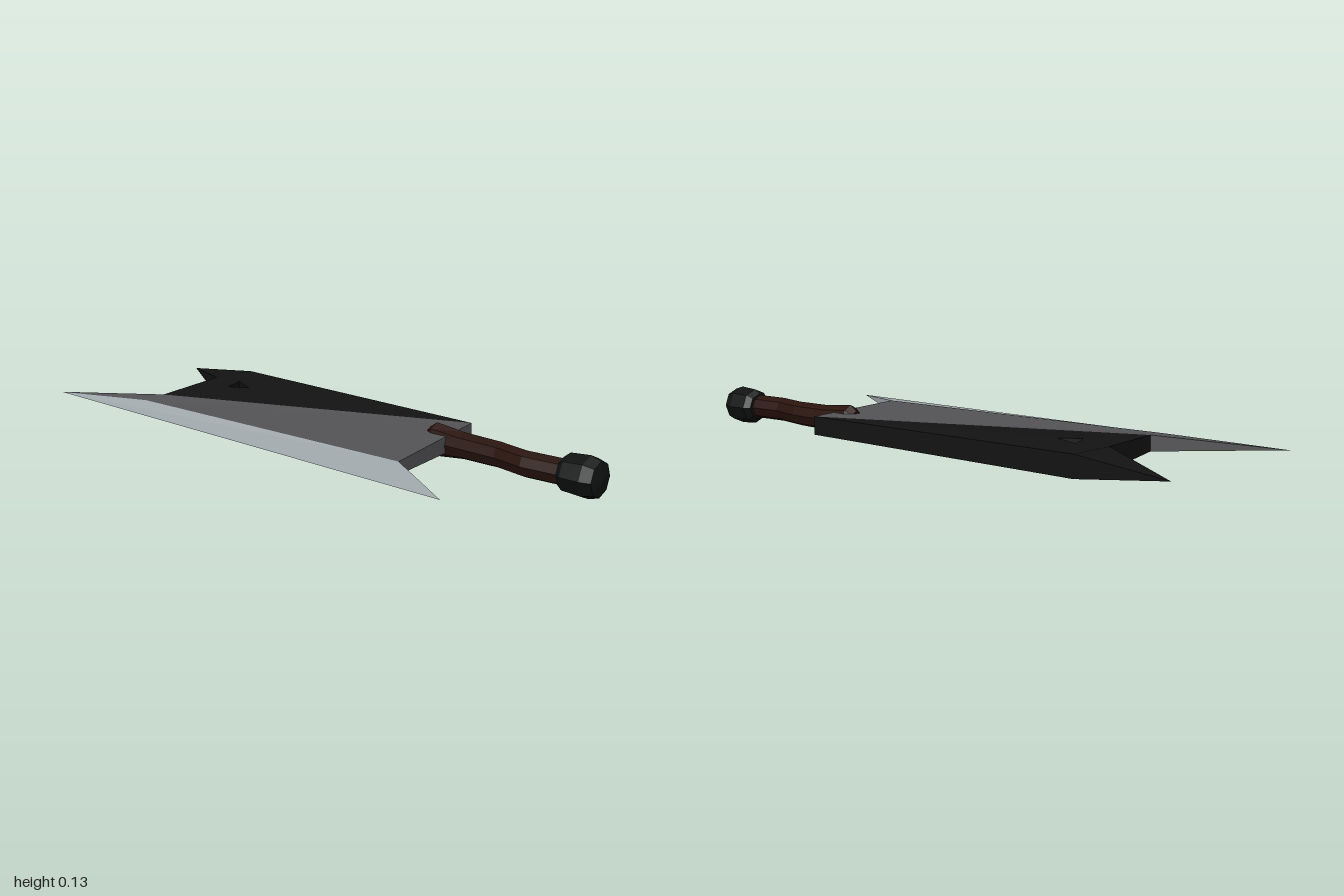
import * as THREE from 'three';

const MID = 0.067; // height of the blade's middle plane

function makeMesh(name, positions, color) {
  const geometry = new THREE.BufferGeometry();
  geometry.setAttribute('position', new THREE.Float32BufferAttribute(positions, 3));
  geometry.computeVertexNormals();
  const mesh = new THREE.Mesh(geometry, new THREE.MeshStandardMaterial({ color, flatShading: true }));
  mesh.name = name;
  return mesh;
}

// Slab mirrored about the middle plane. Points are [x, z, half thickness];
// walls lists the outline edges that are closed with a side face.
function slab(name, color, outline, walls, hole = []) {
  const pos = [];
  const all = [...outline, ...hole];
  const put = (p, s) => pos.push(p[0], MID + s * p[2], p[1]);
  const flat = (pts) => pts.map((p) => new THREE.Vector2(p[0], p[1]));
  const faces = THREE.ShapeUtils.triangulateShape(flat(outline), hole.length ? [flat(hole)] : []);
  for (const face of faces) {
    let [a, b, c] = face.map((i) => all[i]);
    const turn = (b[0] - a[0]) * (c[1] - a[1]) - (b[1] - a[1]) * (c[0] - a[0]);
    if (turn > 0) [b, c] = [c, b];
    put(a, 1); put(b, 1); put(c, 1);
    put(a, -1); put(c, -1); put(b, -1);
  }
  const wall = (p, q) => {
    put(p, 1); put(q, 1); put(p, -1);
    put(q, 1); put(q, -1); put(p, -1);
  };
  walls.forEach((i) => wall(outline[i], outline[(i + 1) % outline.length]));
  hole.forEach((p, i) => wall(p, hole[(i + 1) % hole.length]));
  return makeMesh(name, pos, color);
}

// Eight-sided loft along z. Sections are [x, z, radius x, radius y].
function loft(name, color, sections, sides = 8) {
  const pos = [];
  const put = ([x, z, rx, ry], j) => {
    const a = (j / sides) * Math.PI * 2;
    pos.push(x + rx * Math.cos(a), MID + ry * Math.sin(a), z);
  };
  for (let i = 0; i < sections.length - 1; i++) {
    const s = sections[i], t = sections[i + 1];
    for (let j = 0; j < sides; j++) {
      put(s, j); put(s, j + 1); put(t, j);
      put(s, j + 1); put(t, j + 1); put(t, j);
    }
  }
  return makeMesh(name, pos, color);
}

export function createModel() {
  const group = new THREE.Group();
  group.name = 'cleaver';
  const steel = 0xa0a8ac, grey = 0x545356, black = 0x131313;

  // Blade corners
  const edgeTip = [-0.294, -1.0, 0];
  const edgeHeel = [-0.31, 0.76, 0];
  const bevelHeel = [-0.167, 0.497, 0.021];
  const bevelTip = [-0.21, -0.615, 0.02];
  const notch = [-0.13, -0.615, 0.026];
  const spineHeel = [0.297, 0.425, 0.031];
  const spineTip = [0.305, -0.93, 0];
  const spineBend = [0.308, -0.62, 0.036];
  const spikeRoot = [0.15, -0.64, 0.036];

  group.add(
    // Sharpened edge
    slab('cuttingEdge', steel, [edgeTip, bevelTip, bevelHeel, edgeHeel], [2]),
    // Grey half of the blade and its point
    slab('bladeBody', grey, [bevelTip, notch, spineHeel, bevelHeel], [2]),
    slab('bladePoint', grey, [edgeTip, notch, bevelTip], [0]),
    // Dark half with the triangular hole, and its spike
    slab('spinePlate', black, [notch, spikeRoot, spineBend, spineHeel], [0, 2], [
      [0.087, -0.508, 0.034], [0.124, -0.44, 0.034], [0.167, -0.534, 0.035],
    ]),
    slab('spineSpike', black, [spikeRoot, spineTip, spineBend], [0, 1]),
    // Crooked wooden grip, flared where it clasps the blade
    loft('handle', 0x2a140e, [
      [0.156, 0.362, 0, 0], [0.156, 0.365, 0.027, 0.037], [0.156, 0.392, 0.042, 0.056],
      [0.156, 0.5, 0.042, 0.044], [0.152, 0.64, 0.041, 0.042],
      [0.128, 0.75, 0.04, 0.042], [0.136, 0.89, 0.04, 0.042],
    ]),
    // Faceted pommel
    loft('pommel', 0x101312, [
      [0.14, 0.868, 0, 0], [0.14, 0.87, 0.046, 0.046], [0.142, 0.89, 0.061, 0.062],
      [0.144, 0.955, 0.064, 0.067], [0.144, 0.99, 0.054, 0.056], [0.144, 1.0, 0, 0],
    ]),
  );
  return group;
}
